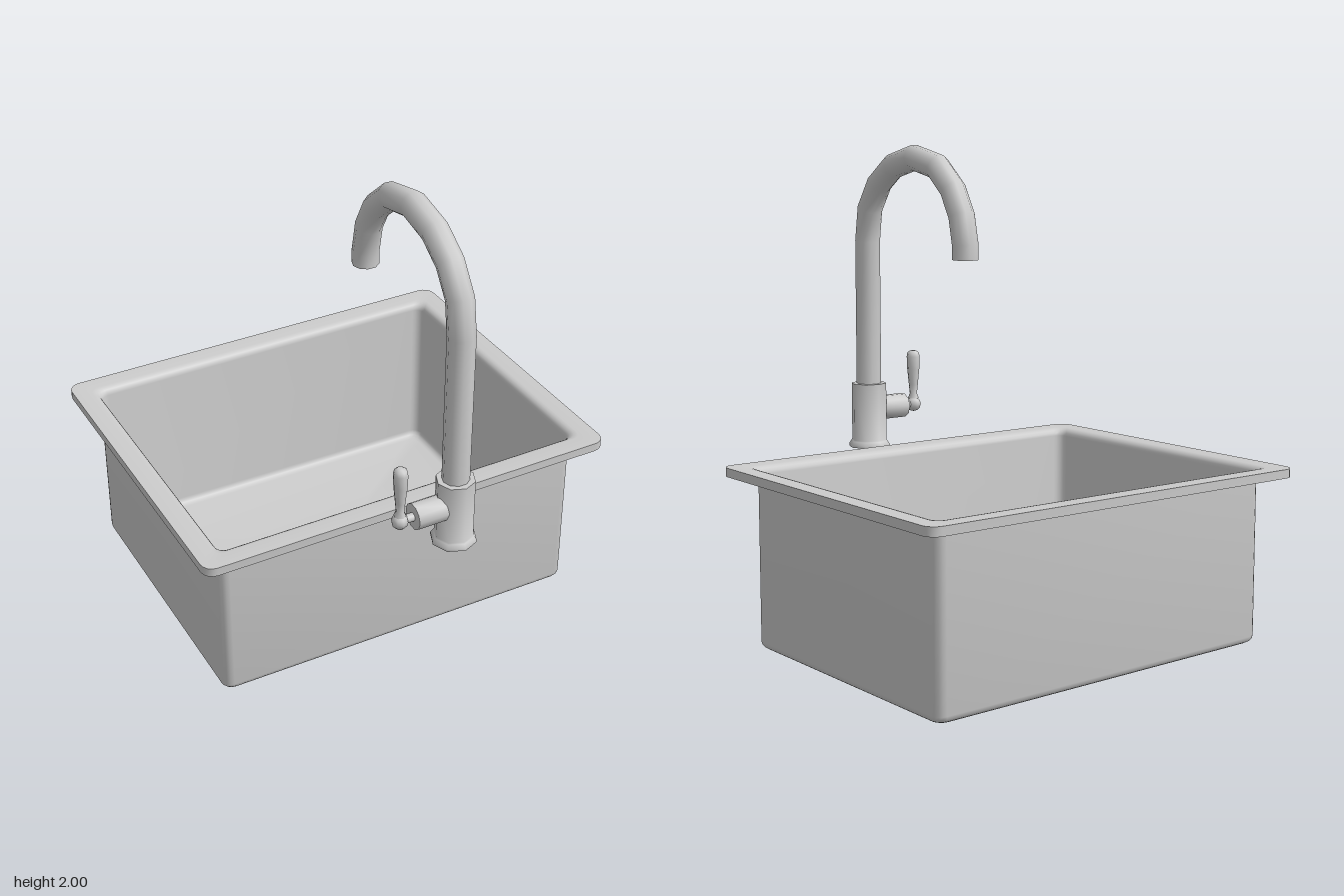
import * as THREE from 'three';
import { toCreasedNormals } from 'three/addons/utils/BufferGeometryUtils.js';

const material = new THREE.MeshStandardMaterial({ color: 0xcccccc, side: THREE.DoubleSide });

function part(name, geometry) {
  const mesh = new THREE.Mesh(toCreasedNormals(geometry, 1.0), material);
  mesh.name = name;
  return mesh;
}

// Skin a list of equal-length rings of Vector3 and cap both ends.
function loft(rings) {
  const n = rings[0].length;
  const last = (rings.length - 1) * n;
  const points = rings.flat();
  const index = [];
  for (let i = 0; i < rings.length - 1; i++) {
    for (let j = 0; j < n; j++) {
      const a = i * n + j, b = i * n + (j + 1) % n;
      index.push(a, a + n, b, b, a + n, b + n);
    }
  }
  const centre = ring => ring.reduce((s, p) => s.add(p), new THREE.Vector3()).divideScalar(n);
  points.push(centre(rings[0]), centre(rings[rings.length - 1]));
  const c0 = points.length - 2, c1 = points.length - 1;
  for (let j = 0; j < n; j++) {
    const k = (j + 1) % n;
    index.push(j, k, c0, last + j, c1, last + k);
  }
  const geometry = new THREE.BufferGeometry().setFromPoints(points);
  geometry.setIndex(index);
  return geometry;
}

// Rounded rectangle in the xz plane; the floor falls gently towards +x.
function basinRing(offset, y, radius) {
  const hx = 0.793 + offset, hz = 0.613 + offset, steps = 4, ring = [];
  for (let q = 0; q < 4; q++) {
    const sx = q === 0 || q === 3 ? 1 : -1, sz = q < 2 ? 1 : -1;
    for (let s = 0; s <= steps; s++) {
      const a = (q + s / steps) * Math.PI / 2;
      const x = sx * (hx - radius) + radius * Math.cos(a);
      const z = sz * (hz - radius) + radius * Math.sin(a);
      const fall = y < 0.2 ? 0.011 * (1 - x / 0.793) : 0;
      ring.push(new THREE.Vector3(x, y + fall, z - 0.148));
    }
  }
  return ring;
}

function createSink() {
  const rings = [];
  const add = (offset, y, radius = 0.04) => rings.push(basinRing(offset, y, radius));
  const quarter = [0, 1, 2, 3, 4].map(i => i * Math.PI / 8);
  // outer floor edge and walls
  quarter.forEach(a => add(-0.03 + 0.03 * Math.sin(a), 0.03 - 0.03 * Math.cos(a)));
  add(0, 0.7);
  // rim
  add(0.096, 0.7, 0.05);
  add(0.096, 0.736, 0.05);
  // rolled lip into the bowl
  quarter.forEach(a => add(0.026 - 0.032 * Math.sin(a), 0.704 + 0.032 * Math.cos(a)));
  // inner walls and floor edge
  quarter.forEach(a => add(-0.036 + 0.03 * Math.cos(a), 0.038 - 0.03 * Math.sin(a)));
  return part('sinkBasin', loft(rings));
}

function createSpout() {
  // centre line as [z, y], relative to the faucet axis
  const path = [[0, 0.95], [0, 1.59], [-0.02, 1.73], [-0.093, 1.838], [-0.2, 1.912], [-0.35, 1.948],
    [-0.51, 1.912], [-0.615, 1.822], [-0.672, 1.72], [-0.697, 1.6], [-0.697, 1.545]]
    .map(([z, y]) => new THREE.Vector3(0, y, z));
  const side = new THREE.Vector3(1, 0, 0), sides = 10, radius = 0.053;
  const rings = path.map((p, i) => {
    const before = p.clone().sub(path[Math.max(i - 1, 0)]).normalize();
    const after = path[Math.min(i + 1, path.length - 1)].clone().sub(p).normalize();
    const normal = side.clone().cross(before.add(after).normalize());
    return Array.from({ length: sides }, (_, j) => {
      const a = j / sides * Math.PI * 2;
      return p.clone().addScaledVector(side, radius * Math.cos(a)).addScaledVector(normal, radius * Math.sin(a));
    });
  });
  return part('spout', loft(rings));
}

function lathe(name, profile, sides) {
  return part(name, new THREE.LatheGeometry(profile.map(([r, y]) => new THREE.Vector2(r, y)), sides));
}

function createFaucet() {
  const faucet = new THREE.Group();
  faucet.name = 'faucet';
  faucet.position.set(0.036, 0, 0.776);

  // flared foot and body
  faucet.add(lathe('faucetBody', [[0, 0.7], [0.09, 0.7], [0.09, 0.71], [0.08, 0.725], [0.076, 0.73],
    [0.076, 0.977], [0, 0.977]], 8));
  faucet.add(createSpout());

  // valve on the right side
  const rod = (name, radius, x0, x1, sides) => {
    const geometry = new THREE.CylinderGeometry(radius, radius, x1 - x0, sides);
    geometry.rotateZ(Math.PI / 2).translate((x0 + x1) / 2, 0.864, 0);
    faucet.add(part(name, geometry));
  };
  rod('valveHousing', 0.053, -0.18, -0.04, 10);
  rod('valveStem', 0.017, -0.236, -0.18, 8);

  // lever with ball joint
  const ball = part('leverBall', new THREE.SphereGeometry(0.033, 8, 6));
  ball.position.set(-0.236, 0.864, 0);
  const lever = lathe('lever', [[0, 0.88], [0.024, 0.89], [0.016, 0.91], [0.02, 0.95], [0.027, 1.02],
    [0.029, 1.075], [0.025, 1.093], [0.012, 1.102], [0, 1.102]], 8);
  lever.position.x = -0.236;
  faucet.add(ball, lever);
  return faucet;
}

export function createModel() {
  const model = new THREE.Group();
  model.name = 'kitchenSink';
  model.add(createSink(), createFaucet());
  return model;
}
